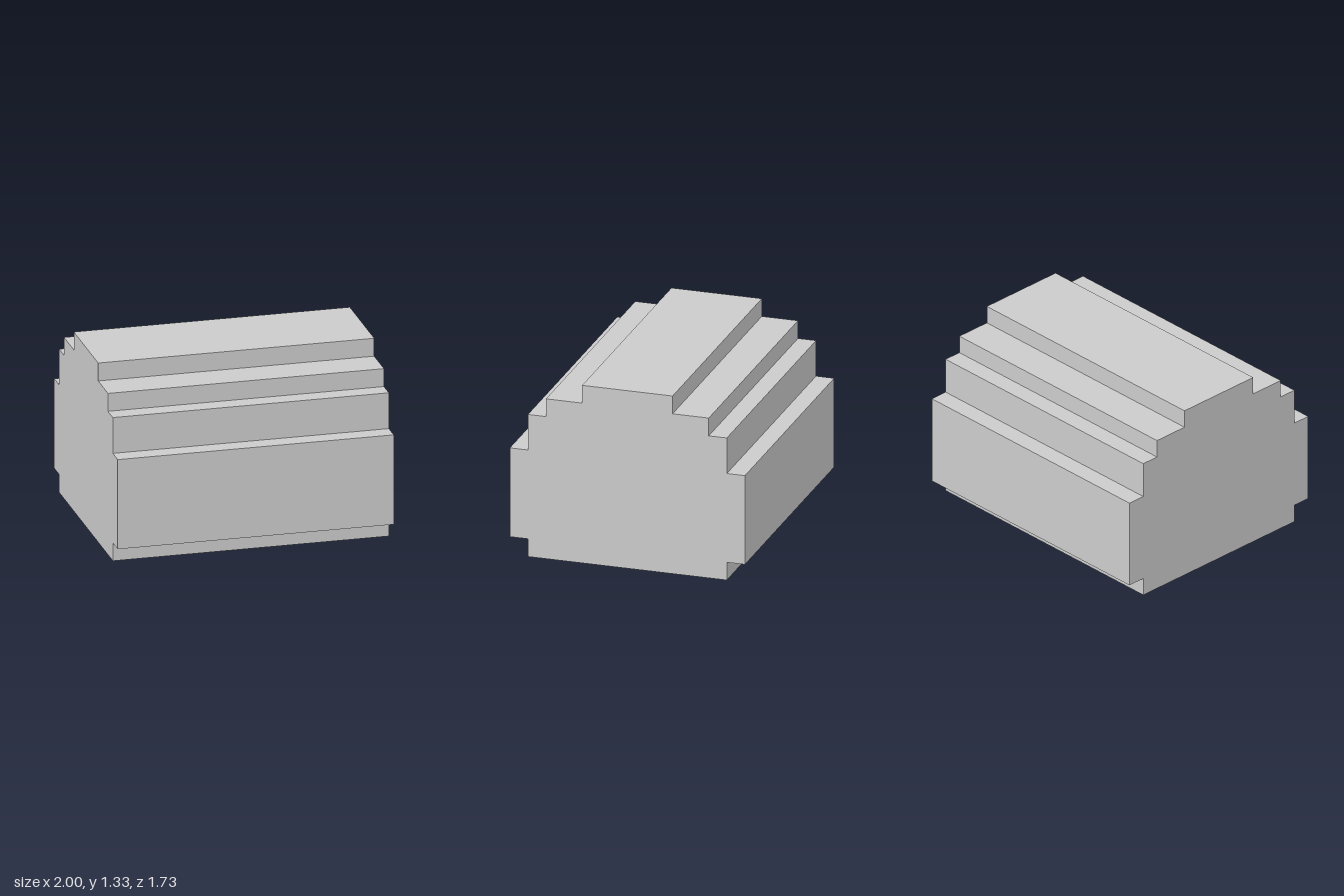
import * as THREE from 'three';

const U = 2 / 15; // one step of the profile grid
const LENGTH = 15 * U;

// Tiers from the ground up: half depth, bottom and top, in steps
const TIERS = [
  [5.5, 0, 1],
  [6.5, 1, 6],
  [5.5, 6, 8],
  [4.5, 8, 9],
  [2.5, 9, 10],
];

export function createModel() {
  const group = new THREE.Group();
  group.name = 'steppedBlock';

  // Stepped outline: up one side, mirrored down the other
  const side = TIERS.flatMap(([half, bottom, top]) => [
    new THREE.Vector2(half * U, bottom * U),
    new THREE.Vector2(half * U, top * U),
  ]);
  const mirrored = side.map((p) => new THREE.Vector2(-p.x, p.y)).reverse();
  const outline = new THREE.Shape([...side, ...mirrored]);

  // Extrude the outline and lay its length along x
  const geometry = new THREE.ExtrudeGeometry(outline, { depth: LENGTH, bevelEnabled: false });
  geometry.translate(0, 0, -LENGTH / 2);
  geometry.rotateY(Math.PI / 2);

  const body = new THREE.Mesh(geometry, new THREE.MeshStandardMaterial({ color: 0xcccccc, flatShading: true }));
  body.name = 'steppedBody';
  group.add(body);
  return group;
}
